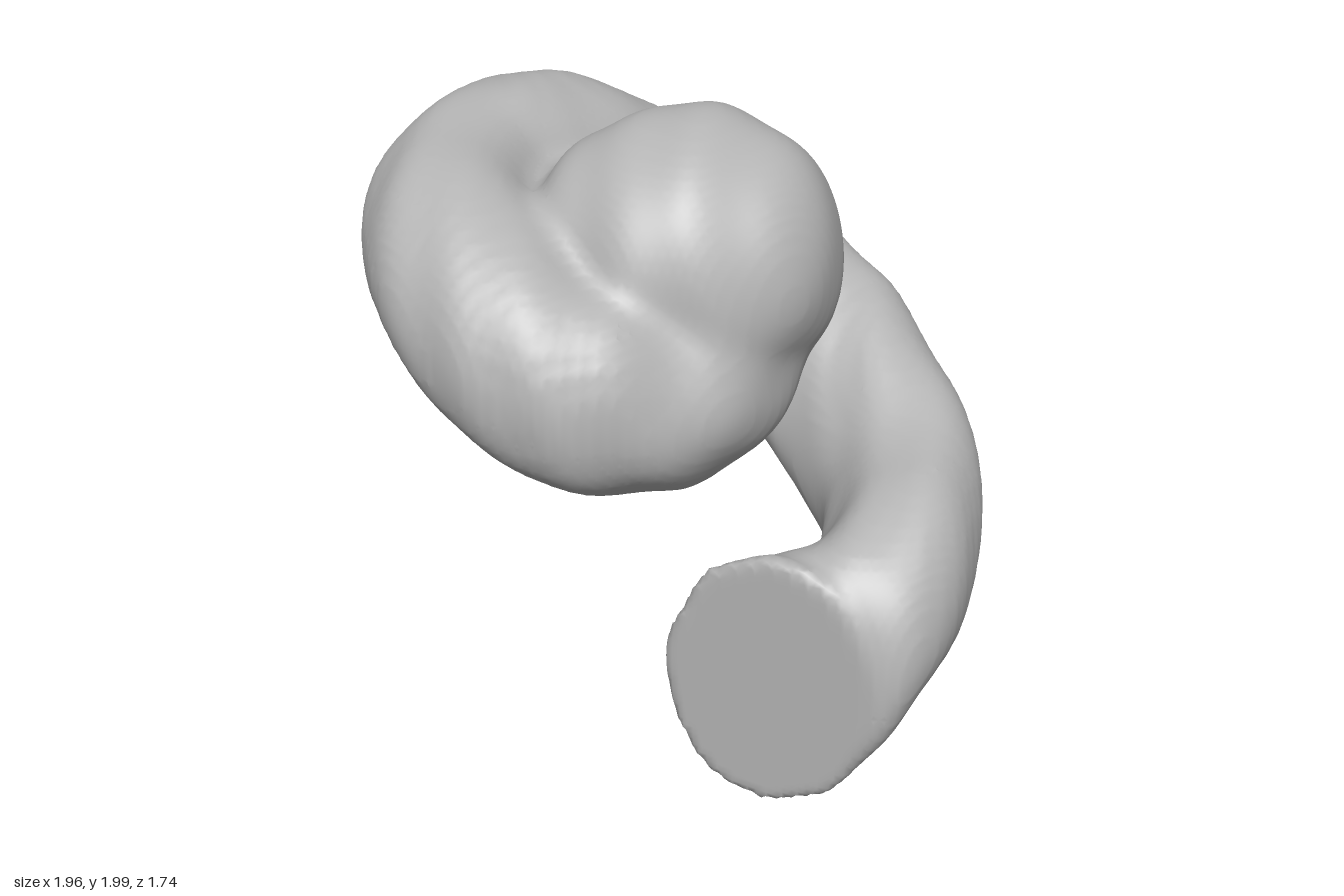
import * as THREE from 'three';

// Stations along the coil: centre x, y, z, half width, half height,
// outward angle (degrees), roll (degrees, top leaning outward)
const STATIONS = [
  [0.60, 0.44, 0.20, 0.34, 0.455, -23, 11],
  [0.65, 0.48, 0.09, 0.30, 0.385, -14, 9],
  [0.72, 0.585, -0.05, 0.25, 0.33, -7, 5],
  [0.65, 0.66, -0.26, 0.235, 0.33, -28, 6],
  [0.43, 0.74, -0.485, 0.235, 0.325, -55, 12],
  [0.15, 0.86, -0.58, 0.24, 0.335, -78, 23],
  [-0.19, 1.03, -0.595, 0.25, 0.34, -102, 29],
  [-0.49, 1.25, -0.47, 0.25, 0.34, -135, 31],
  [-0.67, 1.46, -0.23, 0.27, 0.33, -160, 27],
  [-0.71, 1.57, 0.03, 0.27, 0.32, -180, 17],
  [-0.67, 1.60, 0.30, 0.26, 0.29, -205, 5],
  [-0.48, 1.59, 0.50, 0.27, 0.28, -230, -6],
  [-0.20, 1.50, 0.59, 0.28, 0.31, -265, -6],
  [0.06, 1.35, 0.50, 0.29, 0.33, -300, 0],
  [0.19, 1.27, 0.29, 0.23, 0.29, -345, 0],
  [0.17, 1.29, 0.10, 0.22, 0.26, -380, 0],
  [0.08, 1.36, -0.05, 0.18, 0.20, -420, 0],
];
const SLICES = 160, CUT_SLICES = 32, SLICE_DEPTH = 0.12;
const V = (x, y, z) => new THREE.Vector3(x, y, z);

// Gentle organic unevenness
const ripple = (x, y, z) =>
  0.007 * Math.sin(13 * x + 4 * y) * Math.sin(11 * z + 9 * y) +
  0.004 * Math.sin(23 * x - 17 * z + 8 * y);

// Approximate distance to an ellipsoid whose local offset is (x, y, z)
function ellipsoid(x, y, z, r) {
  const a = x / r.x, b = y / r.y, c = z / r.z;
  const k0 = Math.sqrt(a * a + b * b + c * c);
  const k1 = Math.hypot(a / r.x, b / r.y, c / r.z);
  return k1 < 1e-6 ? -Math.min(r.x, r.y, r.z) : (k0 * (k0 - 1)) / k1;
}

function smoothMin(a, b, k) {
  const h = Math.max(k - Math.abs(a - b), 0) / k;
  return Math.min(a, b) - (h * h * k) / 4;
}

// Closely spaced elliptical slices along the spiral
function coilSlices() {
  const spline = (pick) => new THREE.CatmullRomCurve3(STATIONS.map(pick), false, 'catmullrom', 0.5);
  const path = spline((s) => V(s[0], s[1], s[2]));
  const size = spline((s) => V(s[3], s[4], 0));
  const turn = spline((s) => V(s[5], s[6], 0).multiplyScalar(Math.PI / 180));
  return Array.from({ length: SLICES + 1 }, (_, i) => {
    const t = i / SLICES, c = path.getPoint(t), s = size.getPoint(t), a = turn.getPoint(t);
    const flat = V(Math.cos(a.x), 0, Math.sin(a.x)), up = V(0, 1, 0);
    return {
      c,
      r: V(s.x, s.y, SLICE_DEPTH),
      out: flat.clone().multiplyScalar(Math.cos(a.y)).addScaledVector(up, -Math.sin(a.y)),
      up: up.clone().multiplyScalar(Math.cos(a.y)).addScaledVector(flat, Math.sin(a.y)),
      along: flat.clone().cross(up),
    };
  });
}

const LUMPS = [
  // Apex dome and its broad upper shoulder
  [V(0.01, 1.54, -0.01), V(0.425, 0.45, 0.435)],
  [V(-0.04, 1.59, 0.07), V(0.39, 0.36, 0.39)],
  // Web in the valley between the dome and the last turn
  [V(-0.28, 1.54, 0.14), V(0.36, 0.2, 0.36)],
  // Wall joining the dome to the inside of the rising turn
  [V(-0.40, 1.36, -0.16), V(0.2, 0.24, 0.2)],
  // Underside where the last turn joins the dome
  [V(0.13, 1.24, 0.17), V(0.30, 0.255, 0.42)],
];

// Signed field of the whole body: negative inside
function makeField() {
  const slices = coilSlices(), start = slices[0];
  return (x, y, z) => {
    let lower = 1, upper = 1;
    slices.forEach((s, i) => {
      const dx = x - s.c.x, dy = y - s.c.y, dz = z - s.c.z;
      if (dx * dx + dy * dy + dz * dz > 0.36) return;
      const d = ellipsoid(
        dx * s.out.x + dy * s.out.y + dz * s.out.z,
        dx * s.up.x + dy * s.up.y + dz * s.up.z,
        dx * s.along.x + dz * s.along.z, s.r);
      if (i < CUT_SLICES) lower = Math.min(lower, d);
      else upper = Math.min(upper, d);
    });
    const bumps = ripple(x, y, z);
    // Softened flat cut across the wide lower end
    const cut = (x - start.c.x) * start.along.x + (z - start.c.z) * start.along.z;
    const tube = Math.min(-smoothMin(-lower - bumps, -cut, 0.04), upper + bumps);
    const body = LUMPS.reduce(
      (d, [c, r]) => smoothMin(d, ellipsoid(x - c.x, y - c.y, z - c.z, r) + bumps, 0.06), 1);
    return smoothMin(tube, body, 0.07);
  };
}

// Skins the field: one vertex per boundary cell, one quad per crossed grid edge
function skin(field, min, max, step) {
  const n = max.clone().sub(min).divideScalar(step).ceil().toArray();
  const stride = [1, n[0], n[0] * n[1]];
  const value = new Float32Array(n[0] * n[1] * n[2]);
  const eachNode = (first, last, visit) => {
    for (let k = first; k < n[2] - last; k++)
      for (let j = first; j < n[1] - last; j++)
        for (let i = first; i < n[0] - last; i++)
          visit(i, j, k, i + j * stride[1] + k * stride[2]);
  };
  eachNode(0, 0, (i, j, k, id) => {
    value[id] = field(min.x + i * step, min.y + j * step, min.z + k * step);
  });

  const positions = [], index = [], cellVertex = new Map();
  eachNode(0, 1, (i, j, k, id) => {
    const sum = V(0, 0, 0);
    let count = 0;
    for (let axis = 0; axis < 3; axis++) {
      const u = (axis + 1) % 3, v = (axis + 2) % 3;
      for (let corner = 0; corner < 4; corner++) {
        const cu = corner & 1, cv = corner >> 1;
        const e = id + cu * stride[u] + cv * stride[v];
        const a = value[e], b = value[e + stride[axis]];
        if (a < 0 === b < 0) continue;
        const p = [0, 0, 0];
        p[axis] = a / (a - b);
        p[u] = cu;
        p[v] = cv;
        sum.add(V(...p));
        count++;
      }
    }
    if (!count) return;
    cellVertex.set(id, positions.length / 3);
    sum.divideScalar(count).add(V(i, j, k)).multiplyScalar(step).add(min);
    positions.push(sum.x, sum.y, sum.z);
  });

  eachNode(1, 1, (i, j, k, id) => {
    for (let axis = 0; axis < 3; axis++) {
      const inside = value[id] < 0;
      if (inside === value[id + stride[axis]] < 0) continue;
      const su = stride[(axis + 1) % 3], sv = stride[(axis + 2) % 3];
      const q = [id - su - sv, id - sv, id, id - su].map((c) => cellVertex.get(c));
      if (!inside) q.reverse();
      index.push(q[0], q[1], q[2], q[0], q[2], q[3]);
    }
  });

  const g = new THREE.BufferGeometry();
  g.setAttribute('position', new THREE.Float32BufferAttribute(positions, 3));
  g.setIndex(index);
  g.computeVertexNormals();
  return g;
}

export function createModel() {
  const group = new THREE.Group();
  group.name = 'spiralCoil';
  const grey = new THREE.MeshStandardMaterial({ color: 0xb5b5b5 });
  grey.name = 'grey';
  const body = new THREE.Mesh(skin(makeField(), V(-1.06, -0.08, -0.95), V(1.06, 2.08, 0.98), 0.022), grey);
  body.name = 'coilBody';
  group.add(body);
  return group;
}
